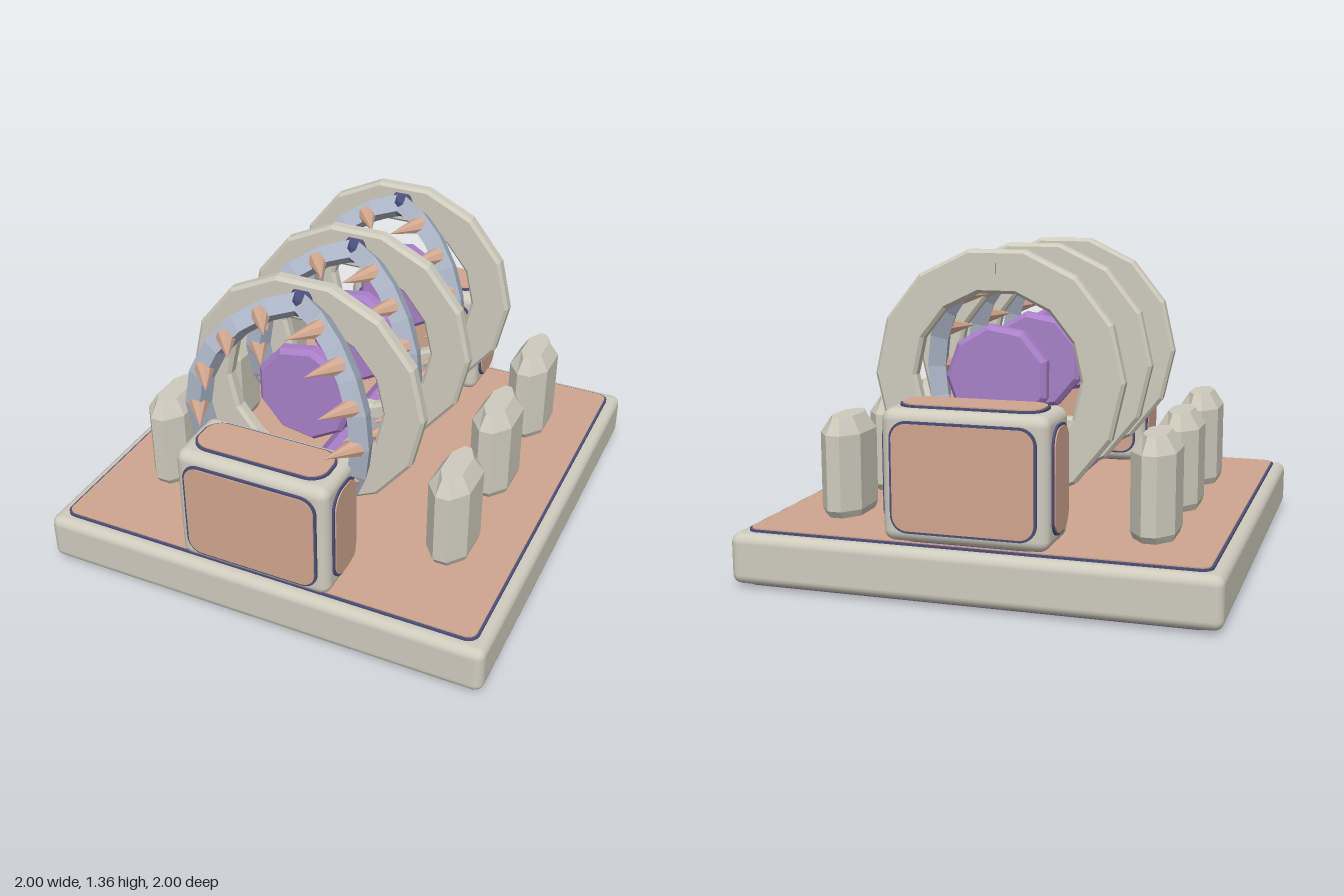
import * as THREE from 'three';
import { RoundedBoxGeometry } from 'three/addons/geometries/RoundedBoxGeometry.js';

const material = (name, color) => {
  const m = new THREE.MeshStandardMaterial({ color });
  m.name = name;
  return m;
};

// Faceted copy of a geometry
function flat(geometry) {
  const g = geometry.index ? geometry.toNonIndexed() : geometry;
  g.computeVertexNormals();
  return g;
}

function add(parent, name, geometry, mat, x = 0, y = 0, z = 0) {
  const mesh = new THREE.Mesh(geometry, mat);
  mesh.name = name;
  mesh.position.set(x, y, z);
  parent.add(mesh);
  return mesh;
}

function group(parent, name, x = 0, y = 0, z = 0) {
  const g = new THREE.Group();
  g.name = name;
  g.position.set(x, y, z);
  parent.add(g);
  return g;
}

// Thin plate with rounded corners, facing +z
function plate(w, h, r, depth) {
  const s = new THREE.Shape();
  const x = w / 2, y = h / 2;
  s.absarc(x - r, y - r, r, 0, Math.PI / 2);
  s.absarc(-x + r, y - r, r, Math.PI / 2, Math.PI);
  s.absarc(-x + r, -y + r, r, Math.PI, Math.PI * 1.5);
  s.absarc(x - r, -y + r, r, Math.PI * 1.5, Math.PI * 2);
  return new THREE.ExtrudeGeometry(s, { depth, bevelEnabled: false, curveSegments: 6 });
}

// Chamfered polygonal ring (or disc when inner is 0) lying in the xy plane
function polygonRing(inner, outer, thick, c, sides) {
  const t = thick / 2;
  const outerEdge = [[outer - c, -t], [outer, -t + c], [outer, t - c], [outer - c, t]];
  const profile = inner > 0
    ? [...outerEdge, [inner + c, t], [inner, t - c], [inner, -t + c], [inner + c, -t], outerEdge[0]]
    : [[0, -t], ...outerEdge, [0, t]];
  const g = new THREE.LatheGeometry(profile.map(p => new THREE.Vector2(...p)), sides, Math.PI / 2);
  return flat(g.rotateX(Math.PI / 2));
}

// Eight-sided bollard lofted through chamfered levels [y, scaleX, scaleZ]
function bollardGeometry() {
  const outline = [[0.03, 0.16], [0.09, 0.083], [0.09, -0.083], [0.03, -0.16],
    [-0.03, -0.16], [-0.09, -0.083], [-0.09, 0.083], [-0.03, 0.16]];
  const levels = [[0, 0.88, 0.85], [0.035, 1, 1], [0.355, 1, 1], [0.425, 0.52, 0.78]];
  const pos = [], idx = [], n = outline.length;
  for (const [y, sx, sz] of levels) for (const [x, z] of outline) pos.push(x * sx, y, z * sz);
  for (let l = 0; l < levels.length - 1; l++) {
    for (let i = 0; i < n; i++) {
      const a = l * n + i, b = l * n + (i + 1) % n;
      idx.push(a, a + n, b, b, a + n, b + n);
    }
  }
  const top = (levels.length - 1) * n;
  for (let i = 1; i < n - 1; i++) {
    idx.push(top, top + i + 1, top + i);
    idx.push(0, i, i + 1);
  }
  const g = new THREE.BufferGeometry();
  g.setAttribute('position', new THREE.Float32BufferAttribute(pos, 3));
  g.setIndex(idx.map((v, i) => (i % 3 === 1 ? idx[i + 1] : i % 3 === 2 ? idx[i - 1] : v)));
  return flat(g);
}

export function createModel() {
  const stone = material('stone', 0xcfcbbd);
  const copper = material('copper', 0xd0a68f);
  const navy = material('navy trim', 0x4c4e78);
  const purple = material('purple', 0xa97fc9);
  const steel = material('steel', 0xaab3c4);
  const model = new THREE.Group();
  model.name = 'ribGate';

  // Copper panel on a navy rim, turned to face its side
  function panel(parent, w, h, r, [x, y, z], rx, ry) {
    const g = group(parent, 'panel', x, y, z);
    g.rotation.set(rx, ry, 0);
    add(g, 'panelRim', plate(w + 0.02, h + 0.02, r + 0.01, 0.009), navy);
    add(g, 'panelFace', plate(w, h, r, 0.009), copper, 0, 0, 0.005);
  }
  const q = Math.PI / 2;

  // Base slab with top and bottom panels
  const base = group(model, 'base', 0, 0.12, 0);
  add(base, 'slab', new RoundedBoxGeometry(2, 0.212, 2, 3, 0.04), stone);
  panel(base, 1.88, 1.88, 0.04, [0, 0.106, 0], -q, 0);
  panel(base, 1.88, 1.88, 0.04, [0, -0.106, 0], q, 0);

  // End blocks, panelled on every side
  for (const s of [1, -1]) {
    const b = group(model, s > 0 ? 'frontBlock' : 'backBlock', 0, 0.508, s * 0.834);
    const hx = 0.337, hy = 0.262, hz = 0.15;
    add(b, 'blockBody', new RoundedBoxGeometry(hx * 2, hy * 2, hz * 2, 3, 0.045), stone);
    panel(b, 0.57, 0.42, 0.06, [0, 0, hz], 0, 0);
    panel(b, 0.57, 0.42, 0.06, [0, 0, -hz], 0, Math.PI);
    panel(b, 0.185, 0.41, 0.07, [hx, 0, 0], 0, q);
    panel(b, 0.185, 0.41, 0.07, [-hx, 0, 0], 0, -q);
    panel(b, 0.57, 0.18, 0.07, [0, hy, 0], -q, 0);
    panel(b, 0.57, 0.18, 0.07, [0, -hy, 0], q, 0);
  }

  // Octagonal spine along the floor
  const spine = new THREE.CylinderGeometry(0.125, 0.125, 1.4, 8).rotateY(Math.PI / 8).rotateX(q);
  add(model, 'spine', flat(spine), purple, 0, 0.24, 0);

  // Three ring stations with a core and two toothed ribs each
  const ringGeo = polygonRing(0.35, 0.53, 0.065, 0.014, 14);
  const coreGeo = polygonRing(0, 0.22, 0.08, 0.02, 9);
  const R = 0.43;
  const ribGeo = flat(new THREE.TorusGeometry(R, 0.054, 4, 10, Math.PI).rotateZ(-q));
  const toothGeo = flat(new THREE.ConeGeometry(0.042, 0.165, 8).rotateX(q));
  const knobGeo = flat(new THREE.IcosahedronGeometry(0.068, 0));
  const tilt = 0.56;
  for (const z of [0.463, -0.043, -0.548]) {
    const station = group(model, 'ringStation', 0, 0.84, z);
    add(station, 'ring', ringGeo, stone);
    add(station, 'core', coreGeo, purple, 0, 0, 0.004);
    for (const s of [1, -1]) {
      add(station, 'ribKnob', knobGeo, navy, 0, s * R, 0.025);
      const rib = group(station, s > 0 ? 'leftRib' : 'rightRib', 0, 0, 0.033);
      rib.rotation.y = s > 0 ? -tilt : Math.PI + tilt;
      add(rib, 'ribArc', ribGeo, steel);
      for (let i = -3; i <= 3; i++) {
        const a = i * Math.PI / 8;
        const tooth = add(rib, 'tooth', toothGeo, copper, R * Math.cos(a), R * Math.sin(a), s * 0.097);
        tooth.rotation.y = s > 0 ? 0 : Math.PI;
      }
    }
  }

  // Bollards down both sides
  const bollardGeo = bollardGeometry();
  for (const x of [0.663, -0.663]) {
    for (const z of [0.447, -0.06, -0.563]) add(model, 'bollard', bollardGeo, stone, x, 0.236, z);
  }
  return model;
}
